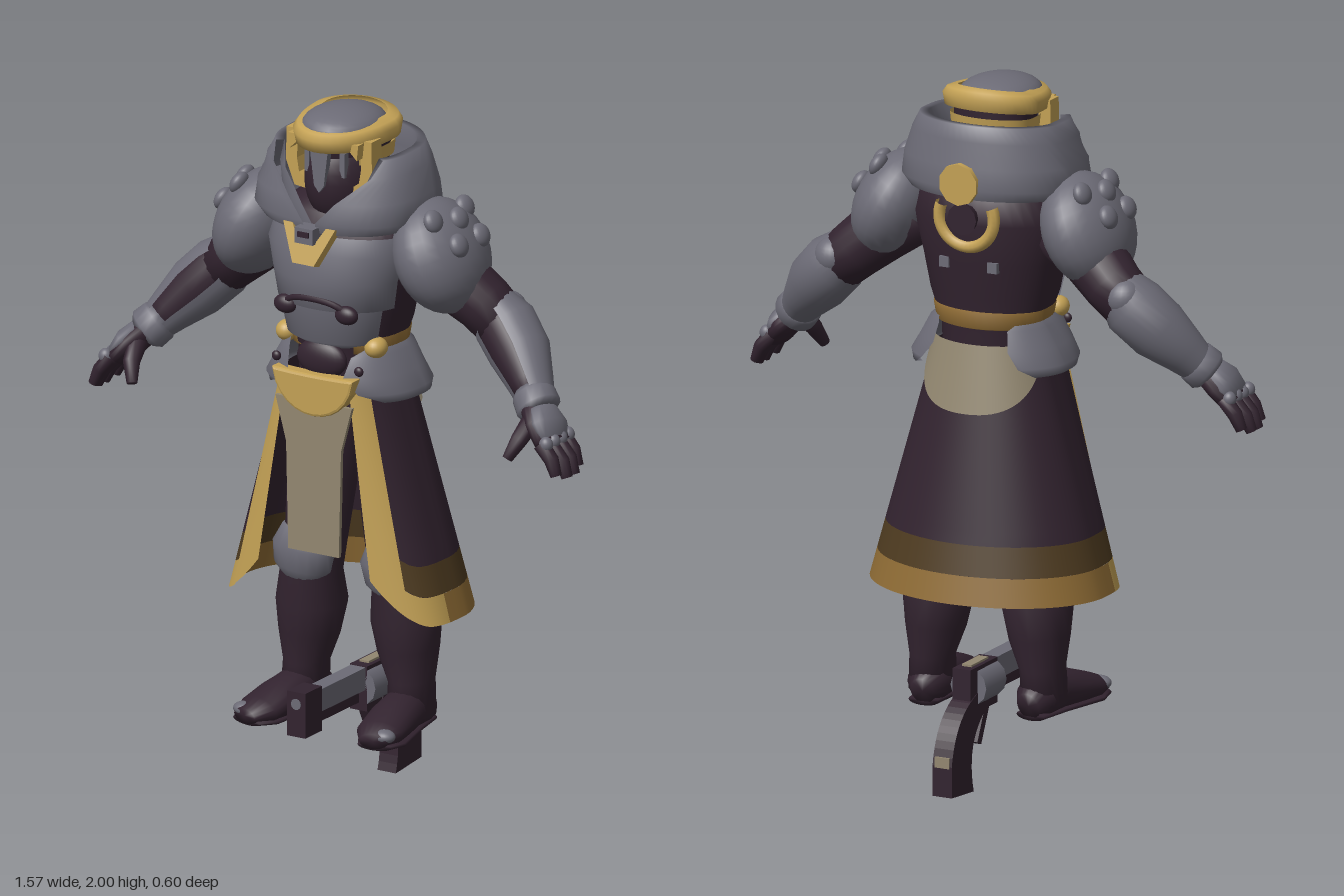
import * as THREE from 'three';
import { mergeVertices } from 'three/addons/utils/BufferGeometryUtils.js';

const paint = (name, color) => new THREE.MeshStandardMaterial({ name, color, side: THREE.DoubleSide });
const grey = paint('grey armour', 0x6c6b76), dark = paint('dark cloth', 0x32232f), gold = paint('gold trim', 0xc3a155);
const tan = paint('tan cloth', 0x928770), olive = paint('olive band', 0x4e3b20), bronze = paint('bronze', 0x8f6c35);
const lerp = THREE.MathUtils.lerp, V = (x, y, z) => new THREE.Vector3(x, y, z), TAU = Math.PI * 2;

function add(parent, name, geo, mat, x = 0, y = 0, z = 0) {
  const m = new THREE.Mesh(geo, mat);
  m.name = name;
  m.position.set(x, y, z);
  parent.add(m);
  return m;
}
// smooth skin over rows of points
function skin(rows) {
  const pos = [], idx = [], n = rows[0].length;
  rows.forEach(r => r.forEach(p => pos.push(p.x, p.y, p.z)));
  for (let i = 0; i < rows.length - 1; i++) for (let j = 0; j < n - 1; j++) {
    const a = i * n + j, b = a + n;
    idx.push(a, b, a + 1, b, b + 1, a + 1);
  }
  let g = new THREE.BufferGeometry();
  g.setAttribute('position', new THREE.Float32BufferAttribute(pos, 3));
  g.setIndex(idx);
  g = mergeVertices(g, 1e-5);
  g.computeVertexNormals();
  return g;
}
// point on a horizontal oval, angle measured from the front towards +x
function oval(a, y, rx, zf, zb, p) {
  const c = Math.cos(a);
  return V(rx * Math.sin(a), y, c > 0 ? zf * Math.pow(c, p) : -zb * c);
}
// rings: [y, rx, zFront, zBack, startAngle, endAngle]; tilt raises the front
function shell(rings, { a0 = 0, a1 = TAU - a0, tilt = 0, p = 0.7, n = 40 } = {}) {
  return skin(rings.map(([y, rx, zf, zb, s = a0, e = s === a0 ? a1 : TAU - s]) => Array.from({ length: n + 1 }, (_, j) => {
    const a = lerp(s, e, j / n);
    return oval(a, y + tilt * Math.cos(a), rx, zf, zb, p);
  })));
}
// limb along a path: [x, y, z, radiusAcross, radiusOther]
function limb(pts, a0 = 0, a1 = TAU, n = 18, caps = true) {
  const c = pts.map(q => V(q[0], q[1], q[2]));
  const rows = c.map((p, i) => {
    const t = c[Math.min(i + 1, c.length - 1)].clone().sub(c[Math.max(i - 1, 0)]).normalize();
    const s = t.clone().cross(Math.abs(t.z) > 0.8 ? V(0, 1, 0) : V(0, 0, 1)).normalize(), u = s.clone().cross(t);
    const ra = pts[i][3], rb = pts[i][4] ?? ra;
    return Array.from({ length: n + 1 }, (_, j) => {
      const a = lerp(a0, a1, j / n);
      return p.clone().addScaledVector(s, ra * Math.cos(a)).addScaledVector(u, rb * Math.sin(a));
    });
  });
  if (caps) {
    rows.unshift(rows[0].map(() => c[0].clone()));
    rows.push(rows[0].map(() => c[c.length - 1].clone()));
  }
  return skin(rows);
}
const ball = (rx, ry, rz) => new THREE.SphereGeometry(1, 24, 16).scale(rx, ry, rz);
const box = (w, h, d) => new THREE.BoxGeometry(w, h, d);
const disc = (r0, r1, h, n) => new THREE.CylinderGeometry(r0, r1, h, n).rotateX(Math.PI / 2);
function plate(points, depth) {
  return new THREE.ExtrudeGeometry(new THREE.Shape(points.map(p => new THREE.Vector2(...p))), { depth, bevelEnabled: false });
}
// flared coat surface, u runs from one front edge round the back to the other
function coat(u0, u1, top, bottom, off = 0) {
  const rows = [];
  for (let i = 0; i <= 14; i++) rows.push(Array.from({ length: 37 }, (_, j) => {
    const u = lerp(u0, u1, j / 36), y = lerp(top(u), bottom(u), i / 14), k = (1.24 - y) / 0.68;
    const rx = lerp(0.165, 0.355, k), a0 = Math.asin(lerp(0.1, 0.2, k) / rx);
    return oval(a0 + u * (TAU - 2 * a0), y, rx + off, lerp(0.215, 0.23, k) + off, -lerp(0.13, 0.268, k) - off, 0.6);
  }));
  return skin(rows);
}

function buildHead(g) {
  add(g, 'neck', shell([[1.6, 0.1, 0.1, -0.1], [1.88, 0.1, 0.1, -0.09]]), dark);
  add(g, 'face', ball(0.108, 0.15, 0.13), dark, 0, 1.8, 0.045);
  add(g, 'helmetLowerBand', shell([[1.86, 0.118, 0.14, -0.09], [1.9, 0.122, 0.145, -0.095]], { a0: 0.8, tilt: -0.01 }), gold);
  add(g, 'helmetGroove', shell([[1.89, 0.11, 0.16, -0.085], [1.93, 0.11, 0.17, -0.085]], { tilt: -0.015, p: 0.9 }), dark);
  add(g, 'helmetBrow', shell([[1.915, 0.12, 0.18, -0.09], [1.917, 0.139, 0.203, -0.1], [1.95, 0.145, 0.21, -0.104],
    [1.968, 0.132, 0.198, -0.095], [1.975, 0.1, 0.165, -0.07]], { tilt: -0.014, p: 0.9 }), gold);
  add(g, 'helmetCap', ball(0.113, 0.05, 0.135), grey, 0, 1.951, 0.05);
  add(g, 'nosePlate', plate([[-0.03, 1.91], [0.03, 1.91], [0.016, 1.8], [0, 1.78], [-0.016, 1.8]], 0.02), grey, 0, 0, 0.162);
  for (const s of [-1, 1]) {
    add(g, 'cheekFrame', plate([[0.1, 1.935], [0.139, 1.935], [0.141, 1.84], [0.113, 1.77], [0.07, 1.765], [0.07, 1.79], [0.098, 1.81], [0.105, 1.85]]
      .map(([x, y]) => [x * s, y]), 0.05), gold, 0, 0, 0.08);
    add(g, 'browCorner', plate([[0.06, 1.93], [0.115, 1.93], [0.11, 1.885], [0.095, 1.9]].map(([x, y]) => [x * s, y]), 0.03), gold, 0, 0, 0.13);
    add(g, 'eyeBar', box(0.016, 0.07, 0.02), grey, s * 0.058, 1.86, 0.143);
  }
}

function buildTorso(g) {
  add(g, 'body', shell([[1.15, 0.14, 0.14, -0.11], [1.3, 0.145, 0.15, -0.115], [1.4, 0.18, 0.18, -0.13], [1.5, 0.2, 0.19, -0.145],
    [1.62, 0.23, 0.18, -0.16], [1.71, 0.2, 0.15, -0.15], [1.75, 0.1, 0.08, -0.08], [1.75, 0, 0, 0]]), dark);
  add(g, 'chestPlate', shell([[1.44, 0.15, 0.185, -0.1], [1.45, 0.192, 0.212, -0.14], [1.53, 0.206, 0.222, -0.145],
    [1.61, 0.228, 0.212, -0.15], [1.66, 0.215, 0.19, -0.14]], { a0: -1.3, a1: 1.3 }), grey);
  add(g, 'bellyPlate', shell([[1.33, 0.13, 0.165, -0.1], [1.35, 0.165, 0.195, -0.1], [1.45, 0.19, 0.208, -0.1]], { a0: -1.1, a1: 1.1 }), grey);
  add(g, 'waistPad', ball(0.08, 0.055, 0.03), dark, 0, 1.295, 0.165);
  add(g, 'belt', shell([[1.31, 0.145, 0.15, -0.115], [1.315, 0.16, 0.165, -0.128], [1.36, 0.168, 0.174, -0.134], [1.365, 0.155, 0.16, -0.12]], { a0: 0.6 }), bronze);
  const seam = new THREE.CatmullRomCurve3([V(-0.12, 1.44, 0.192), V(-0.06, 1.475, 0.212), V(0.06, 1.475, 0.212), V(0.12, 1.44, 0.192)]);
  add(g, 'chestSeam', new THREE.TubeGeometry(seam, 20, 0.009, 6), dark);
  for (const s of [-1, 1]) {
    add(g, 'chestVent', ball(0.036, 0.027, 0.022), dark, s * 0.1, 1.445, 0.196);
    add(g, 'beltClip', ball(0.032, 0.03, 0.035), gold, s * 0.145, 1.338, 0.115);
  }
  // standing collar: outside up, over the rim, inside down
  add(g, 'collar', shell([[1.69, 0.235, 0.225, -0.19, 0.06], [1.72, 0.262, 0.235, -0.2, 0.08], [1.78, 0.255, 0.225, -0.19, 0.3],
    [1.85, 0.232, 0.2, -0.175, 0.75], [1.895, 0.208, 0.185, -0.167, 1.0], [1.895, 0.183, 0.165, -0.145, 1.0],
    [1.83, 0.195, 0.175, -0.15, 0.75], [1.75, 0.18, 0.19, -0.15, 0.3], [1.69, 0.14, 0.19, -0.13, 0.08]], { tilt: -0.012, p: 0.6, n: 48 }), grey);
  const v = add(g, 'collarChevron', plate([[-0.085, 0.11], [-0.055, 0.11], [-0.025, 0.06], [0.025, 0.06], [0.055, 0.11], [0.085, 0.11], [0.035, 0], [-0.035, 0]], 0.03), gold, 0, 1.585, 0.235);
  v.rotation.x = -0.3;
  add(g, 'collarClasp', box(0.06, 0.045, 0.05), grey, 0, 1.675, 0.235);
  add(g, 'claspSlot', box(0.035, 0.015, 0.006), dark, 0, 1.68, 0.262);
  // back fittings
  add(g, 'backDisc', disc(0.06, 0.06, 0.02, 10), gold, 0, 1.745, -0.194);
  add(g, 'backRing', new THREE.TorusGeometry(0.085, 0.018, 8, 24, Math.PI * 1.25).rotateZ(Math.PI * 0.875), gold, 0, 1.64, -0.15);
  add(g, 'backHub', disc(0.035, 0.045, 0.04, 12), dark, 0, 1.64, -0.16);
  for (const s of [-1, 1]) add(g, 'backStud', box(0.03, 0.03, 0.02), grey, s * 0.075, 1.5, -0.133);
}

function buildCoat(g) {
  const hem = u => 0.56 + 0.13 * Math.max(0, 1 - Math.min(u, 1 - u) / 0.13) ** 2;
  const waist = () => 1.24, e = 0.072, c = 0.17, hemTop = u => hem(u) + 0.08;
  add(g, 'coatCloth', coat(e, 1 - e, waist, u => hem(u) + 0.165), dark);
  add(g, 'coatBand', coat(e, 1 - e, u => hem(u) + 0.165, hemTop), olive);
  add(g, 'coatHem', coat(c, 1 - c, hemTop, hem), bronze);
  for (const [near, far] of [[0, 1], [1, -1]]) {
    add(g, 'coatTrim', coat(near, near + far * e, waist, hem, 0.004), gold);
    add(g, 'coatCorner', coat(near + far * e, near + far * c, hemTop, hem), gold);
  }
  add(g, 'backFlap', coat(0.22, 0.78, () => 1.27, u => 1.08 + 0.17 * Math.abs((u - 0.5) / 0.28) ** 2.5, 0.009), tan);
  add(g, 'tabard', plate([[-0.125, 1.18], [-0.09, 1.05], [-0.083, 0.74], [0.083, 0.74], [0.09, 1.05], [0.125, 1.18]], 0.012), tan, 0, 0, 0.197);
  const s = new THREE.Shape();
  s.moveTo(-0.125, 1.255);
  s.bezierCurveTo(-0.1, 1.11, 0.1, 1.11, 0.125, 1.255);
  s.bezierCurveTo(0.06, 1.25, -0.06, 1.25, -0.125, 1.255);
  add(g, 'beltCrescent', new THREE.ExtrudeGeometry(s, { depth: 0.03, bevelEnabled: true, bevelSize: 0.008, bevelThickness: 0.008, bevelSegments: 2 }), gold, 0, 0, 0.18);
  for (const side of [1, -1]) {
    const hip = add(g, 'hipPlate', shell([[1.335, 0.155, 0.18, -0.125, 0.95, 2.2], [1.315, 0.178, 0.2, -0.14, 0.6, 2.5], [1.26, 0.208, 0.215, -0.155, 0.45, 2.55],
      [1.215, 0.235, 0.215, -0.17, 0.6, 2.45], [1.19, 0.23, 0.2, -0.168, 0.95, 2.2], [1.19, 0.21, 0.18, -0.15, 0.95, 2.2]]), grey);
    hip.scale.x = side;
    add(g, 'hipStud', ball(0.014, 0.014, 0.01), dark, side * 0.135, 1.285, 0.188);
  }
}

function buildSide(g) {
  // shoulder, leaning outwards
  const shoulder = new THREE.Group();
  shoulder.name = 'shoulder';
  shoulder.position.set(0.295, 1.605, 0.012);
  shoulder.rotation.z = 0.42;
  g.add(shoulder);
  add(shoulder, 'shoulderPlate', ball(0.115, 0.165, 0.167), grey);
  for (const [a, b, c] of [[0.62, 0.62, 0.48], [0.62, 0.62, -0.48], [0.85, 0.5, 0], [0.93, 0.1, 0.33], [0.93, 0.1, -0.33]])
    add(shoulder, 'shoulderStud', ball(0.022, 0.034, 0.034), grey, a * 0.115, b * 0.165, c * 0.167);
  // arm
  add(g, 'upperArm', limb([[0.22, 1.6, 0, 0.09], [0.33, 1.53, -0.015, 0.092], [0.4, 1.47, -0.04, 0.084], [0.47, 1.41, -0.045, 0.078]]), dark);
  const fore = [[0.415, 1.475, -0.045, 0.065], [0.465, 1.42, -0.045, 0.09], [0.53, 1.355, -0.02, 0.088], [0.59, 1.29, 0.02, 0.066], [0.62, 1.255, 0.04, 0.055]];
  add(g, 'forearm', limb(fore.map(([x, y, z, r]) => [x, y, z, r - 0.008])), dark);
  add(g, 'forearmPlate', limb(fore, Math.PI / 2 + 0.6, Math.PI * 2.5 - 0.4, 24, false), grey);
  add(g, 'elbowPad', ball(0.055, 0.055, 0.055), grey, 0.455, 1.45, -0.075);
  add(g, 'cuff', limb([[0.605, 1.27, 0.03, 0.05], [0.615, 1.26, 0.04, 0.062], [0.64, 1.235, 0.055, 0.064], [0.65, 1.225, 0.06, 0.05]]), grey);
  // hand
  add(g, 'palm', limb([[0.63, 1.24, 0.06, 0.035, 0.05], [0.67, 1.2, 0.075, 0.037, 0.07], [0.71, 1.155, 0.09, 0.033, 0.07]]), dark);
  add(g, 'handPlate', limb([[0.66, 1.235, 0.065, 0.03, 0.05], [0.69, 1.205, 0.08, 0.032, 0.066], [0.715, 1.17, 0.09, 0.022, 0.06]]), grey);
  for (let i = 0; i < 4; i++) {
    const z = 0.035 + i * 0.037, d = i === 0 || i === 3 ? 0.012 : 0;
    add(g, 'knuckle', ball(0.02, 0.022, 0.019), grey, 0.722, 1.167, z);
    add(g, 'finger', limb([[0.705, 1.165, z, 0.022], [0.752 - d, 1.113 + d, z, 0.021], [0.77 - d, 1.07 + d, z + 0.004, 0.016]], 0, TAU, 10), dark);
  }
  add(g, 'thumb', limb([[0.645, 1.21, 0.1, 0.028], [0.635, 1.165, 0.15, 0.024], [0.615, 1.115, 0.178, 0.015]], 0, TAU, 10), dark);
  // leg
  add(g, 'leg', limb([[0.1, 1.1, -0.01, 0.09], [0.115, 0.9, -0.02, 0.1], [0.135, 0.7, -0.015, 0.085, 0.095], [0.15, 0.61, -0.015, 0.088, 0.09],
    [0.155, 0.52, -0.025, 0.102, 0.1], [0.162, 0.43, -0.025, 0.086, 0.092], [0.172, 0.34, -0.025, 0.062, 0.075], [0.175, 0.24, -0.02, 0.065, 0.075]]), dark);
  add(g, 'kneePlate', limb([[0.14, 0.745, 0.03, 0.07, 0.045], [0.143, 0.69, 0.035, 0.095, 0.062], [0.15, 0.63, 0.03, 0.088, 0.058], [0.155, 0.585, 0.03, 0.04, 0.035]]), grey);
  add(g, 'boot', limb([[0.165, 0.245, -0.1, 0.035, 0.04], [0.168, 0.258, -0.06, 0.062, 0.055], [0.175, 0.265, 0.02, 0.062, 0.062],
    [0.185, 0.255, 0.1, 0.07, 0.052], [0.198, 0.242, 0.18, 0.068, 0.038], [0.21, 0.236, 0.235, 0.04, 0.022]]), dark);
  add(g, 'sole', limb([[0.167, 0.216, -0.09, 0.045, 0.014], [0.175, 0.216, 0.02, 0.058, 0.014], [0.2, 0.216, 0.17, 0.072, 0.014], [0.21, 0.22, 0.225, 0.05, 0.012]]), dark);
  add(g, 'toeCap', ball(0.034, 0.02, 0.028), grey, 0.228, 0.247, 0.205);
}

function buildBlaster(g) {
  add(g, 'muzzle', box(0.06, 0.13, 0.085), dark, 0, 0.295, 0.255);
  add(g, 'muzzleBore', disc(0.016, 0.016, 0.006, 12), grey, 0, 0.325, 0.297);
  add(g, 'barrel', box(0.048, 0.065, 0.24), grey, 0, 0.315, 0.1);
  add(g, 'barrelRail', box(0.03, 0.05, 0.2), dark, 0, 0.275, 0.1);
  add(g, 'receiver', box(0.056, 0.13, 0.16), dark, 0, 0.285, -0.1);
  add(g, 'drum', disc(0.056, 0.056, 0.12, 12), grey, 0, 0.29, -0.08);
  add(g, 'topStrip', box(0.03, 0.008, 0.1), tan, 0, 0.352, -0.1);
  const s = new THREE.Shape();
  s.moveTo(-0.12, 0.28);
  s.quadraticCurveTo(-0.27, 0.25, -0.295, 0.1);
  s.lineTo(-0.295, 0.012);
  s.lineTo(-0.165, 0);
  s.quadraticCurveTo(-0.21, 0.15, -0.09, 0.22);
  const grip = new THREE.ExtrudeGeometry(s, { depth: 0.06, bevelEnabled: false }).translate(0, 0, -0.03).rotateY(-Math.PI / 2);
  add(g, 'grip', grip, dark);
  add(g, 'gripBand', box(0.045, 0.03, 0.045), tan, 0, 0.11, -0.275);
  const trigger = add(g, 'trigger', box(0.03, 0.11, 0.025), dark, 0, 0.17, -0.08);
  trigger.rotation.x = 0.45;
}

export function createModel() {
  const model = new THREE.Group();
  model.name = 'armouredFigure';
  for (const [name, build] of [['head', buildHead], ['torso', buildTorso], ['coat', buildCoat], ['leftLimbs', buildSide], ['rightLimbs', buildSide], ['blaster', buildBlaster]]) {
    const g = new THREE.Group();
    g.name = name;
    build(g);
    if (name === 'rightLimbs') g.scale.x = -1;
    model.add(g);
  }
  return model;
}
